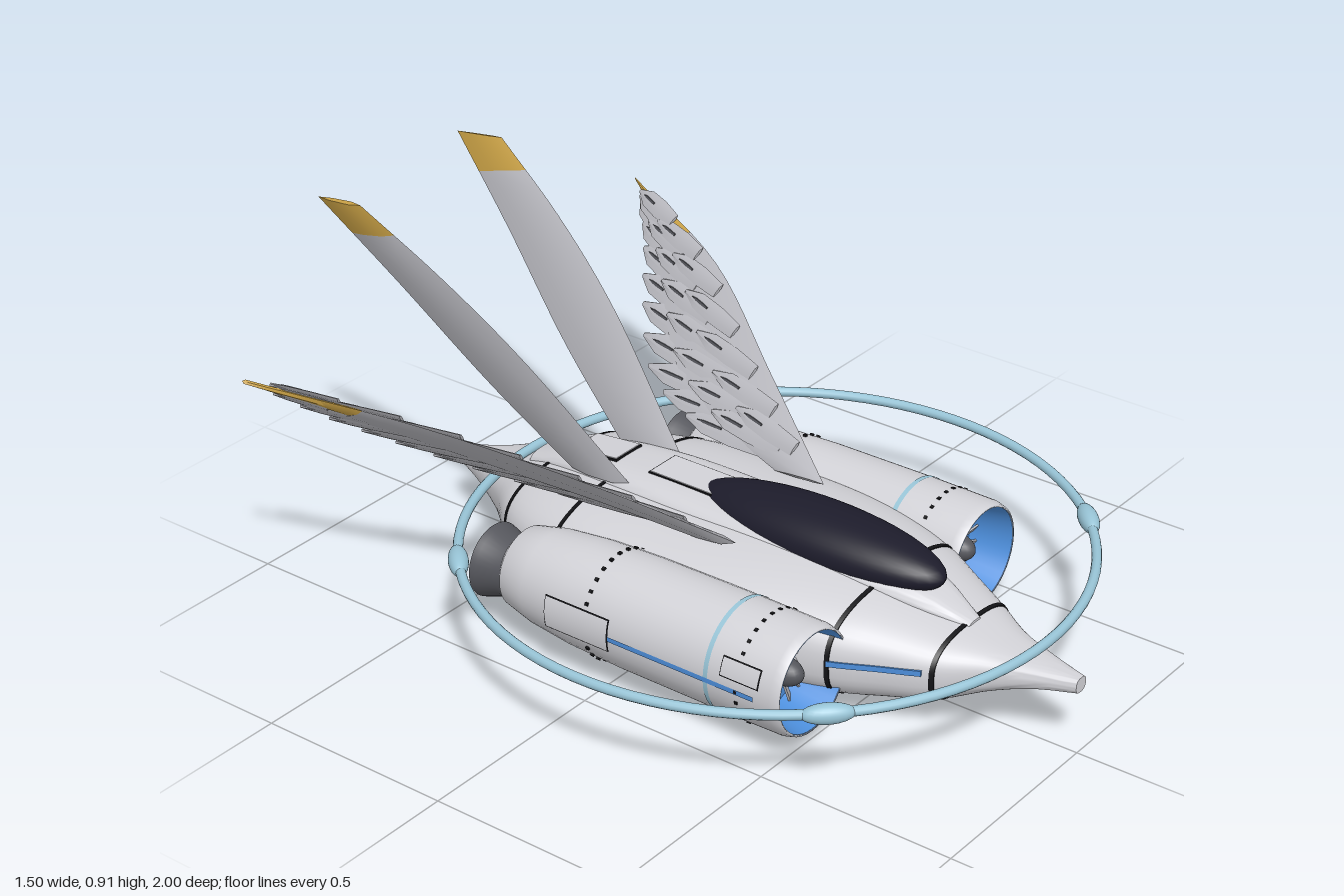
import * as THREE from 'three';
import { mergeGeometries, toCreasedNormals } from 'three/addons/utils/BufferGeometryUtils.js';

const V = (x, y, z) => new THREE.Vector3(x, y, z);
const curve = (pts) => new THREE.CatmullRomCurve3(pts.map((p) => V(...p)));
const range = (a, b, n) => Array.from({ length: n + 1 }, (_, i) => a + ((b - a) * i) / n);

function paint(name, color) {
  const m = new THREE.MeshStandardMaterial({ color, side: THREE.DoubleSide });
  m.name = name;
  return m;
}

// Closed skin over rings of points, capped at both ends
function skin(rings, crease = 0.6) {
  const n = rings[0].length, pos = [], idx = [];
  rings.forEach((r) => r.forEach((p) => pos.push(p.x, p.y, p.z)));
  for (let i = 0; i < rings.length - 1; i++) {
    for (let j = 0; j < n; j++) {
      const a = i * n + j, b = i * n + ((j + 1) % n);
      idx.push(a, b, a + n, b, b + n, a + n);
    }
  }
  [0, rings.length - 1].forEach((k) => {
    const c = rings[k].reduce((s, p) => s.add(p), V(0, 0, 0)).divideScalar(n);
    const ci = pos.length / 3;
    pos.push(c.x, c.y, c.z);
    for (let j = 0; j < n; j++) {
      const a = k * n + j, b = k * n + ((j + 1) % n);
      idx.push(ci, ...(k ? [a, b] : [b, a]));
    }
  });
  const g = new THREE.BufferGeometry();
  g.setAttribute('position', new THREE.Float32BufferAttribute(pos, 3));
  g.setIndex(idx);
  return toCreasedNormals(g, crease);
}

// Smooth profile from keys [z, half width, top, bottom], z ascending
function profile(keys) {
  const it = new THREE.CubicInterpolant(keys.map((k) => k[0]), keys.flatMap((k) => k.slice(1)), 3);
  return (z) => Array.from(it.evaluate(z));
}

// Rounded-box sections along z
function loft(prof, zs, pad = 0, power = 2.7, seg = 48) {
  const round = (c) => Math.sign(c) * Math.pow(Math.abs(c), 2 / power);
  return skin(zs.map((z) => {
    const [w, t, b] = prof(z);
    return range(0, 2 * Math.PI, seg).slice(0, seg).map((a) => V(
      (w + pad) * round(Math.cos(a)),
      (t + b) / 2 + ((t - b) / 2 + pad) * round(Math.sin(a)), z));
  }));
}

// Lens-shaped section between a leading and a trailing point
function lens(l, t, up, thick) {
  const at = (f, h) => l.clone().lerp(t, f).addScaledVector(up, h * thick);
  return [l, at(0.25, -0.5), at(0.7, -0.4), t, at(0.7, 0.4), at(0.25, 0.5)];
}

function blade(lead, trail, u0, u1, thick, chord = 1) {
  return skin(range(u0, u1, 14).map((u) => {
    const l = lead.getPoint(u), t = l.clone().lerp(trail.getPoint(u), chord);
    const up = lead.getTangent(u).cross(t.clone().sub(l)).normalize();
    return lens(l, t, up, thick * (1 - 0.5 * u));
  }));
}

function feather(p0, p1, up, width, thick) {
  const d = p1.clone().sub(p0).normalize();
  const side = up.clone().cross(d).normalize();
  return skin([[0, 0.8], [0.4, 1], [0.75, 0.9], [1, 0.2]].map(([t, w]) => {
    const c = p0.clone().lerp(p1, t);
    const at = (k) => c.clone().addScaledVector(side, (k * w * width) / 2);
    return lens(at(-1), at(1), up, thick);
  }));
}

// Turned shape along z, points are [radius, z] with z ascending; phi 0 is the underside
function turned(pts, phi = 0, sweep = Math.PI * 2, seg = 40) {
  return new THREE.LatheGeometry(pts.map((p) => new THREE.Vector2(...p)), seg, phi, sweep).rotateX(Math.PI / 2);
}

function mirrored(geo) {
  const g = geo.index ? geo.toNonIndexed() : geo.clone();
  g.scale(-1, 1, 1);
  for (const a of Object.values(g.attributes)) {
    const s = a.itemSize;
    for (let i = 0; i < a.count; i += 3) {
      for (let k = 0; k < s; k++) {
        const p = (i + 1) * s + k, q = p + s;
        [a.array[p], a.array[q]] = [a.array[q], a.array[p]];
      }
    }
  }
  return g;
}

export function createModel() {
  const root = new THREE.Group();
  root.name = 'spacecraft';
  const hull = paint('hull grey', 0xd2d2d7), plume = paint('wing grey', 0xb9b9bf);
  const dark = paint('gunmetal', 0x55565c), black = paint('seam black', 0x131316);
  const glass = paint('canopy glass', 0x1d1c2b), sky = paint('pale blue', 0x98c4d6);
  const blue = paint('engine blue', 0x4d8fdc), gold = paint('gold', 0xc8a045);

  const add = (name, geo, mat) => {
    const m = new THREE.Mesh(geo, mat);
    m.name = name;
    root.add(m);
  };
  const pair = (name, geo, mat) => {
    add(name + 'Left', geo, mat);
    add(name + 'Right', mirrored(geo), mat);
  };
  const box = (w, h, d, x, y, z) => new THREE.BoxGeometry(w, h, d).translate(x, y, z);

  // Fuselage with dark seams
  const body = profile([
    [-0.78, 0.025, 0.185, 0.135], [-0.7, 0.06, 0.2, 0.115], [-0.57, 0.14, 0.24, 0.08],
    [-0.46, 0.235, 0.275, 0.055], [-0.26, 0.31, 0.305, 0.035], [0, 0.33, 0.315, 0.03],
    [0.3, 0.315, 0.312, 0.03], [0.5, 0.26, 0.288, 0.037], [0.6, 0.21, 0.265, 0.05],
    [0.71, 0.155, 0.236, 0.07], [0.8, 0.095, 0.218, 0.108], [0.9, 0.053, 0.206, 0.142], [1, 0.02, 0.197, 0.16],
  ]);
  add('fuselage', loft(body, range(-0.78, 1, 60)), hull);
  [-0.46, -0.26, 0.5, 0.71].forEach((z) => add('seam', loft(body, [z - 0.005, z + 0.005], 0.002), black));
  add('tailCap', turned([[0, -0.79], [0.024, -0.79], [0.031, -0.75], [0.026, -0.745]]).translate(0, 0.16, 0), dark);
  pair('sideStripe', skin(range(0.5, 0.69, 8).map((z) => {
    const w = body(z)[0];
    return [V(w - 0.01, 0.164, z), V(w + 0.003, 0.164, z), V(w + 0.003, 0.178, z), V(w - 0.01, 0.178, z)];
  })), blue);

  // Dorsal spine, hatches and canopy
  const spine = profile([
    [-0.53, 0.06, 0.27, 0.2], [-0.4, 0.085, 0.315, 0.2], [-0.2, 0.115, 0.336, 0.2], [0.1, 0.125, 0.335, 0.2],
    [0.35, 0.115, 0.325, 0.2], [0.6, 0.07, 0.293, 0.2], [0.72, 0.025, 0.24, 0.2],
  ]);
  add('spine', loft(spine, range(-0.53, 0.72, 30), 0, 3.2), hull);
  add('canopy', new THREE.SphereGeometry(1, 40, 24).scale(0.106, 0.076, 0.345).translate(0, 0.31, 0.29), glass);
  [[0.095, 0.18, -0.075, 0.337, 0], [0.09, 0.13, -0.335, 0.327, -0.1]].forEach(([w, d, z, y, tilt]) => {
    const plate = (grow, lift) => box(w + grow, 0.006, d + grow, 0, lift, 0).rotateX(tilt).translate(0, y, z);
    add('hatchSeam', plate(0.006, 0), black);
    add('hatch', plate(0, 0.002), hull);
  });

  // Belly keel
  const keel = profile([
    [-0.38, 0.05, 0.06, 0.035], [-0.3, 0.09, 0.06, 0.008], [0, 0.097, 0.06, 0.005],
    [0.4, 0.095, 0.06, 0.007], [0.54, 0.05, 0.06, 0.03],
  ]);
  add('keel', loft(keel, range(-0.38, 0.54, 24), 0, 5), hull);
  add('keelPanel', box(0.11, 0.006, 0.6, 0, 0.004, 0.07), blue);

  // Engine pods
  const cx = 0.341, cy = 0.172;
  const engine = (name, geo, mat) => pair(name, geo.translate(cx, cy, 0), mat);
  const patch = (r, z0, z1, phi, half) => turned([[r, z0], [r, z1]], phi - half, half * 2, 12);
  engine('pod', turned([[0.075, -0.32], [0.1, -0.3], [0.118, -0.22], [0.13, -0.1], [0.135, 0.05],
    [0.136, 0.35], [0.134, 0.5], [0.128, 0.522], [0.122, 0.522]]), hull);
  engine('intakeLining', turned([[0.1, 0.4], [0.108, 0.45], [0.124, 0.523]].reverse()), blue);
  engine('fanDisc', new THREE.CylinderGeometry(0.108, 0.108, 0.01, 40).rotateX(Math.PI / 2).translate(0, 0, 0.41), blue);
  engine('fanBlades', mergeGeometries(range(0, 2 * Math.PI, 16).slice(1).map((a) =>
    box(0.075, 0.022, 0.005, 0, 0, 0).rotateX(0.6).translate(0.066, 0, 0.43).rotateZ(a))), plume);
  engine('fanHub', new THREE.SphereGeometry(0.034, 24, 16).scale(1, 1, 1.6).translate(0, 0, 0.44), dark);
  engine('paleBand', turned([[0.1375, 0.322], [0.1375, 0.334]]), sky);
  engine('podStripe', patch(0.1375, -0.08, 0.46, Math.PI / 2, 0.045), blue);
  engine('podBellyPanel', patch(0.1385, -0.12, 0.42, 0.05, 0.3), blue);
  [[-0.13, 0.05, 1.62, 0.28], [0.37, 0.47, 1.94, 0.15]].forEach(([z0, z1, phi, half]) => {
    engine('accessSeam', patch(0.139, z0 - 0.003, z1 + 0.003, phi, half + 0.025), black);
    engine('accessPanel', patch(0.141, z0, z1, phi, half), hull);
  });
  engine('rivets', mergeGeometries([0.41, -0.02].flatMap((z) => range(0, 2 * Math.PI, 28).slice(1).map((a) =>
    box(0.006, 0.008, 0.008, 0.1345, 0, z).rotateZ(a)))), black);
  engine('nozzle', turned([[0.092, -0.39], [0.088, -0.375], [0.073, -0.33], [0.076, -0.3]]).translate(0.012, -0.008, 0), dark);
  const disc = (r, z) => new THREE.CylinderGeometry(r, r, 0.008, 32).rotateX(Math.PI / 2).translate(0.012, -0.008, z);
  engine('exhaustGlow', disc(0.087, -0.384), blue);
  engine('exhaustCore', disc(0.04, -0.388), plume);

  // Halo ring with four nodes
  add('haloRing', new THREE.TorusGeometry(0.737, 0.012, 12, 96).rotateX(Math.PI / 2).translate(0, 0.252, 0.17), sky);
  for (let k = 0; k < 4; k++) {
    add('haloNode', new THREE.SphereGeometry(1, 20, 14).scale(0.024, 0.024, 0.062)
      .translate(0.737, 0, 0).rotateY(Math.PI / 4 + (k * Math.PI) / 2).translate(0, 0.252, 0.17), sky);
  }

  // Tail fins with gold tips
  const fin = (pts) => curve(pts.map(([z, y]) => [0.098 + (y - 0.33) * 0.268, y, z]));
  const finLead = fin([[-0.19, 0.32], [-0.45, 0.6], [-0.65, 0.765], [-0.86, 0.905]]);
  const finTrail = fin([[-0.37, 0.3], [-0.58, 0.48], [-0.8, 0.7], [-1, 0.888]]);
  pair('tailFin', blade(finLead, finTrail, 0, 0.86, 0.026), plume);
  pair('tailFinTip', blade(finLead, finTrail, 0.86, 1, 0.026), gold);

  // Feathered wings
  const lead = curve([[0.17, 0.325, 0.18], [0.34, 0.455, -0.1], [0.54, 0.582, -0.42], [0.712, 0.648, -0.815]]);
  const trail = curve([[0.18, 0.305, 0.0], [0.23, 0.33, -0.22], [0.32, 0.375, -0.43],
    [0.46, 0.465, -0.57], [0.59, 0.555, -0.68], [0.69, 0.635, -0.78]]);
  const on = (u, v) => lead.getPoint(Math.min(u, 1)).lerp(trail.getPoint(Math.min(u, 1)), v);
  const up = on(0.7, 0).sub(on(0.2, 0)).cross(on(0.5, 1).sub(on(0.5, 0))).normalize();
  pair('wing', blade(lead, trail, 0, 0.78, 0.022, 0.82), plume);
  pair('wingTip', blade(lead, trail, 0.78, 1, 0.022, 0.6), gold);
  const feathers = [], slits = [];
  [[9, 0.55, 1.08, 0.062, -0.002], [8, 0.34, 0.78, 0.056, 0.007], [7, 0.14, 0.5, 0.05, 0.012]]
    .forEach(([n, v0, v1, width, lift]) => {
      for (let k = 0; k < n; k++) {
        const u = 0.1 + (0.72 * k) / (n - 1);
        const a = on(u, v0).addScaledVector(up, lift);
        const b = on(u + 0.14, v1).addScaledVector(up, lift);
        feathers.push(feather(a, b, up, width, 0.008));
        const s = (t) => a.clone().lerp(b, t).addScaledVector(up, 0.005);
        slits.push(feather(s(0.55), s(0.85), up, 0.008, 0.004));
      }
    });
  pair('wingFeathers', mergeGeometries(feathers), plume);
  pair('featherSlits', mergeGeometries(slits), dark);

  return root;
}
